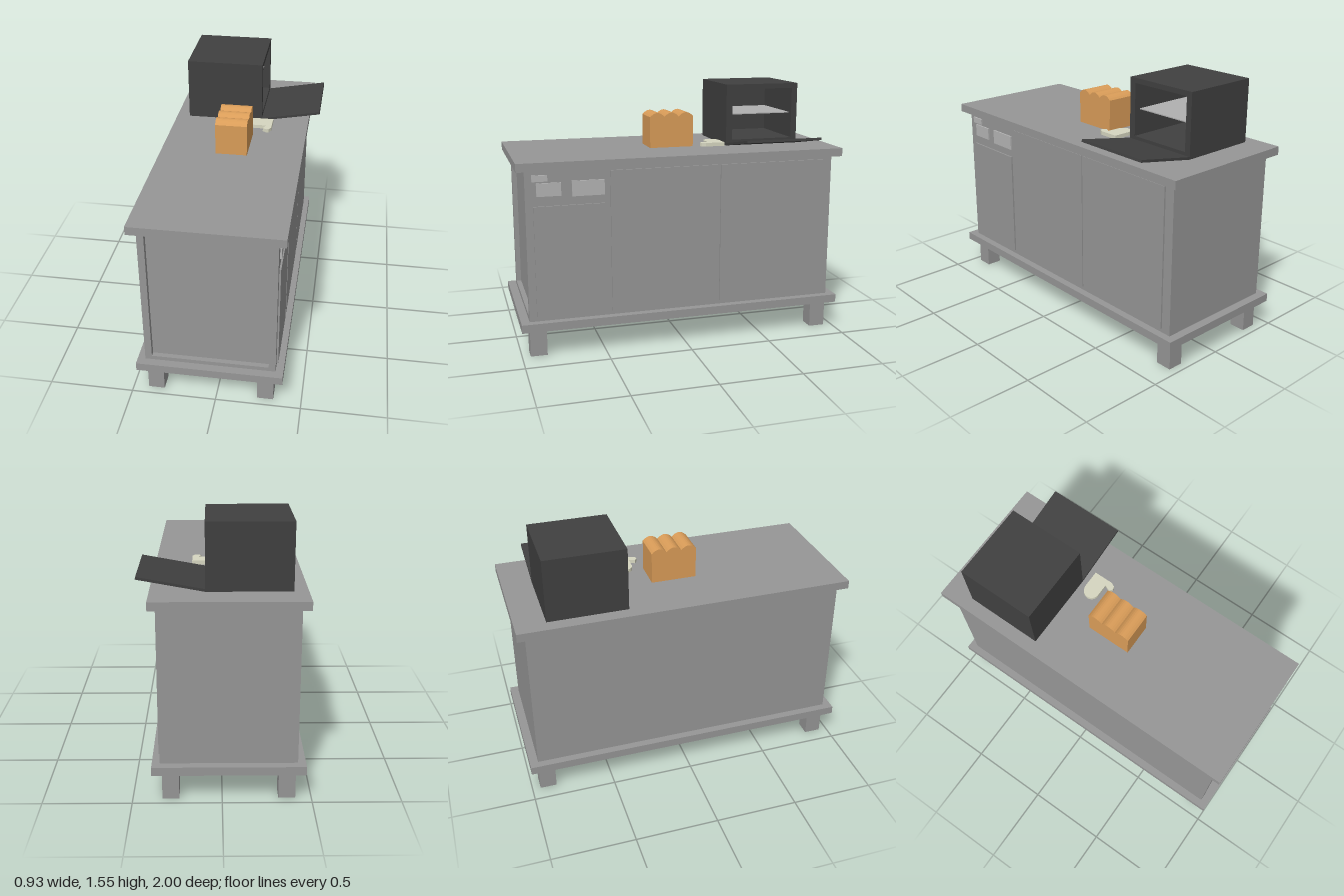
import * as THREE from 'three';

const mat = (color) => new THREE.MeshStandardMaterial({ color, flatShading: true });

// Box given by its extents on each axis
function block(name, material, [x0, x1], [y0, y1], [z0, z1]) {
  const mesh = new THREE.Mesh(new THREE.BoxGeometry(x1 - x0, y1 - y0, z1 - z0), material);
  mesh.name = name;
  mesh.position.set((x0 + x1) / 2, (y0 + y1) / 2, (z0 + z1) / 2);
  return mesh;
}

function rectPoints(x0, x1, y0, y1) {
  return [[x0, y0], [x1, y0], [x1, y1], [x0, y1]].map(([x, y]) => new THREE.Vector2(x, y));
}

// Rectangular frame with a rectangular hole, extruded along +z
function frameGeometry(outer, inner, depth) {
  const shape = new THREE.Shape(rectPoints(...outer));
  shape.holes.push(new THREE.Path(rectPoints(...inner)));
  return new THREE.ExtrudeGeometry(shape, { depth, bevelEnabled: false });
}

function createCabinet() {
  const g = new THREE.Group();
  g.name = 'cabinet';
  const grey = mat(0x969696), light = mat(0xb4b4b4);
  const side = 0.345, face = [side - 0.01, side + 0.01];

  g.add(block('worktop', grey, [-0.465, 0.39], [1.12, 1.17], [-1, 1]));
  g.add(block('basePlinth', grey, [-0.465, 0.39], [0.17, 0.22], [-1, 1]));
  g.add(block('body', grey, [-0.42, side], [0.22, 1.12], [-0.95, 0.92]));

  // Frame around the recessed end panel
  const frame = new THREE.Mesh(
    frameGeometry([-0.42, side, 0.22, 1.12], [-0.38, 0.305, 0.245, 1.095], 0.03), grey);
  frame.name = 'endFrame';
  frame.position.z = 0.92;
  g.add(frame);

  // Legs
  for (const x of [-0.41, 0.24])
    for (const z of [-0.95, 0.85])
      g.add(block('leg', grey, [x, x + 0.095], [0, 0.17], [z, z + 0.1]));

  // Raised doors
  g.add(block('smallDoor', grey, face, [0.245, 0.91], [0.49, 0.905]));
  g.add(block('middleDoor', grey, face, [0.245, 1.1], [-0.215, 0.455]));
  g.add(block('backDoor', grey, face, [0.245, 1.1], [-0.89, -0.222]));

  // Small plates above the small door
  const plates = [
    [[1.055, 1.092], [0.82, 0.91]],
    [[0.968, 1.045], [0.743, 0.885]],
    [[0.96, 1.05], [0.49, 0.68]],
  ];
  for (const [y, z] of plates) g.add(block('controlPlate', light, face, y, z));
  return g;
}

function createOven() {
  const g = new THREE.Group();
  g.name = 'oven';
  const dark = mat(0x404040);
  const x0 = -0.385, x1 = 0.09, z0 = -0.82, z1 = -0.345;

  // Hollow shell, open towards +x
  const shellGeo = frameGeometry([z0, z1, 1.17, 1.55], [z0 + 0.037, z1 - 0.04, 1.205, 1.52], x1 - x0 - 0.03);
  shellGeo.rotateY(-Math.PI / 2);
  const shell = new THREE.Mesh(shellGeo, dark);
  shell.name = 'ovenShell';
  shell.position.x = x1;
  g.add(shell);
  g.add(block('ovenBack', dark, [x0, x0 + 0.03], [1.17, 1.55], [z0, z1]));
  g.add(block('ovenShelf', mat(0xb0b0b0), [x0 + 0.03, x1 - 0.04], [1.358, 1.364], [z0 + 0.037, z1 - 0.04]));

  // Opened door, hinged at the lower edge
  const hinge = new THREE.Group();
  hinge.name = 'ovenDoor';
  hinge.position.set(x1, 1.17, 0);
  hinge.rotation.z = 0.182;
  hinge.add(block('doorPanel', dark, [0, 0.378], [0, 0.015], [z0, z1]));
  g.add(hinge);
  return g;
}

// Loaf with three rounded humps, profile extruded along x
function createBread() {
  const z0 = -0.135, z1 = 0.14, humps = 3, steps = 8;
  const w = (z1 - z0) / humps;
  const shape = new THREE.Shape();
  shape.moveTo(z0, 1.17);
  shape.lineTo(z1, 1.17);
  for (let h = 0; h < humps; h++)
    for (let i = 0; i <= steps; i++) {
      if (h > 0 && i === 0) continue;
      const t = i / steps;
      shape.lineTo(z1 - (h + t) * w, 1.36 + 0.1 * t * (1 - t));
    }
  const geo = new THREE.ExtrudeGeometry(shape, { depth: 0.19, bevelEnabled: false });
  geo.rotateY(-Math.PI / 2);
  const bread = new THREE.Mesh(geo, mat(0xd99c58));
  bread.name = 'bread';
  bread.position.x = 0.06;
  return bread;
}

// Flat mitt with a rounded end and a thumb, drawn in x and -z
function createMitt() {
  const s = new THREE.Shape();
  s.moveTo(0.17, 0.305);
  s.lineTo(0.06, 0.305);
  s.absarc(0.06, 0.255, 0.048, Math.PI / 2, Math.PI * 1.5, false);
  s.lineTo(0.135, 0.207);
  s.lineTo(0.118, 0.17);
  s.lineTo(0.14, 0.155);
  s.lineTo(0.157, 0.16);
  s.lineTo(0.17, 0.185);
  const geo = new THREE.ExtrudeGeometry(s, { depth: 0.022, bevelEnabled: false, curveSegments: 10 });
  geo.rotateX(-Math.PI / 2);
  const mitt = new THREE.Mesh(geo, mat(0xd6d6c0));
  mitt.name = 'ovenMitt';
  mitt.position.y = 1.182;
  return mitt;
}

export function createModel() {
  const model = new THREE.Group();
  model.name = 'kitchenCounter';
  model.add(createCabinet(), createOven(), createBread(), createMitt());
  return model;
}
